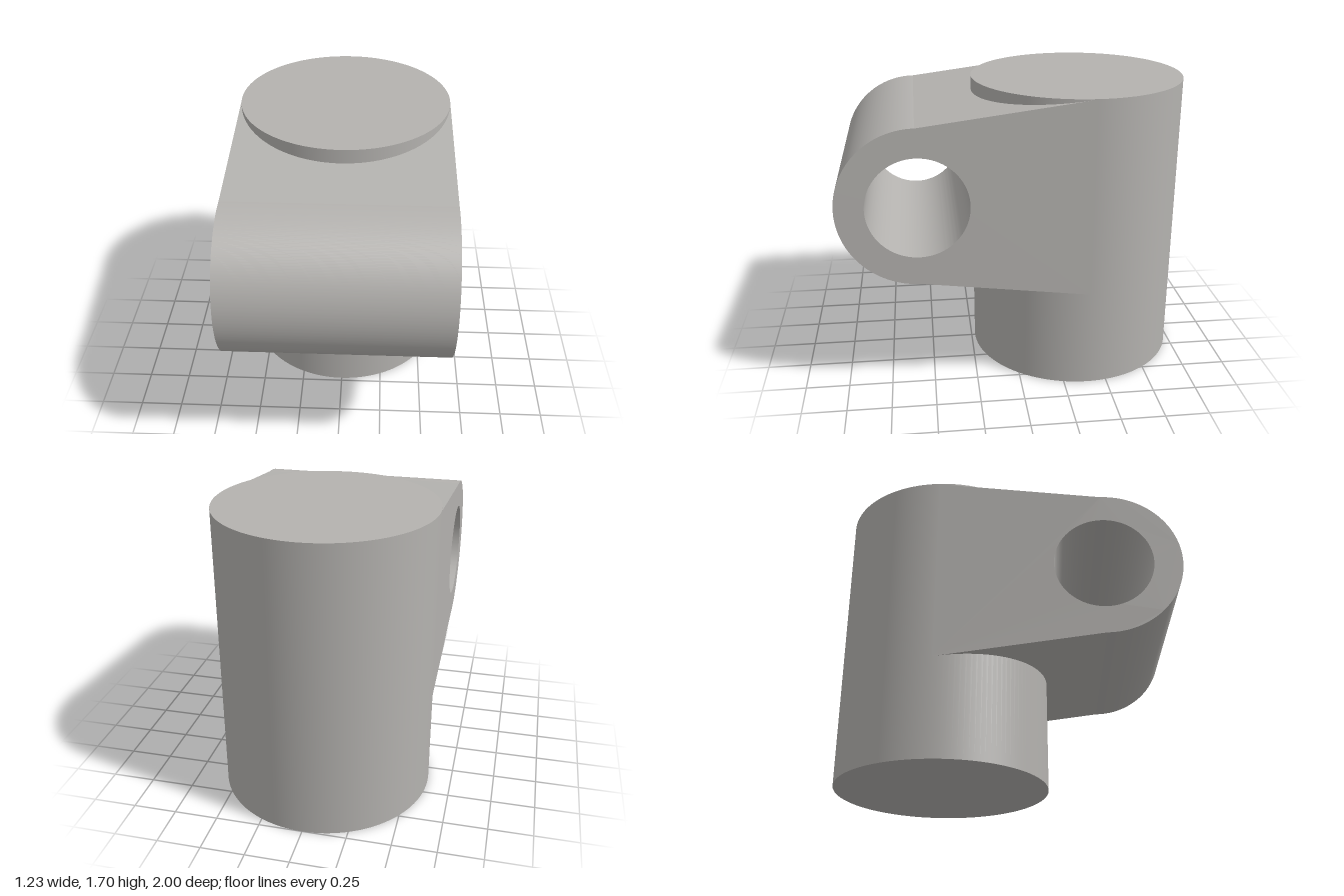
import * as THREE from 'three';
import { toCreasedNormals } from 'three/addons/utils/BufferGeometryUtils.js';

const R = 0.614;         // post radius, also half the arm width
const POST_Z = -0.386;   // post axis
const HEIGHT = 1.7;
const EYE = { z: 0.56, y: 1.135, r: 0.44, hole: 0.28 };

export function createModel() {
  const model = new THREE.Group();
  const steel = new THREE.MeshStandardMaterial({ color: 0xb4b2af });
  steel.name = 'plain steel';

  // Upright round post
  const post = new THREE.Mesh(new THREE.CylinderGeometry(R, R, HEIGHT, 128), steel);
  post.name = 'post';
  post.position.set(0, HEIGHT / 2, POST_Z);
  model.add(post);

  // Side profile of the arm (z, y): tapers from the post to a round eye
  const profile = new THREE.Shape();
  profile.moveTo(POST_Z, 0.573);
  profile.lineTo(EYE.z, EYE.y - EYE.r);
  profile.absarc(EYE.z, EYE.y, EYE.r, -Math.PI / 2, Math.PI / 2, false);
  profile.lineTo(POST_Z, 1.697);
  profile.closePath();

  // Bore through the eye
  const bore = new THREE.Path();
  bore.absarc(EYE.z, EYE.y, EYE.hole, 0, Math.PI * 2, true);
  profile.holes.push(bore);

  const armGeometry = new THREE.ExtrudeGeometry(profile, {
    depth: 2 * R, bevelEnabled: false, curveSegments: 96,
  });
  armGeometry.rotateY(-Math.PI / 2);
  armGeometry.translate(R, 0, 0);
  const arm = new THREE.Mesh(toCreasedNormals(armGeometry, 0.085), steel);
  arm.name = 'armWithEye';
  model.add(arm);

  return model;
}
